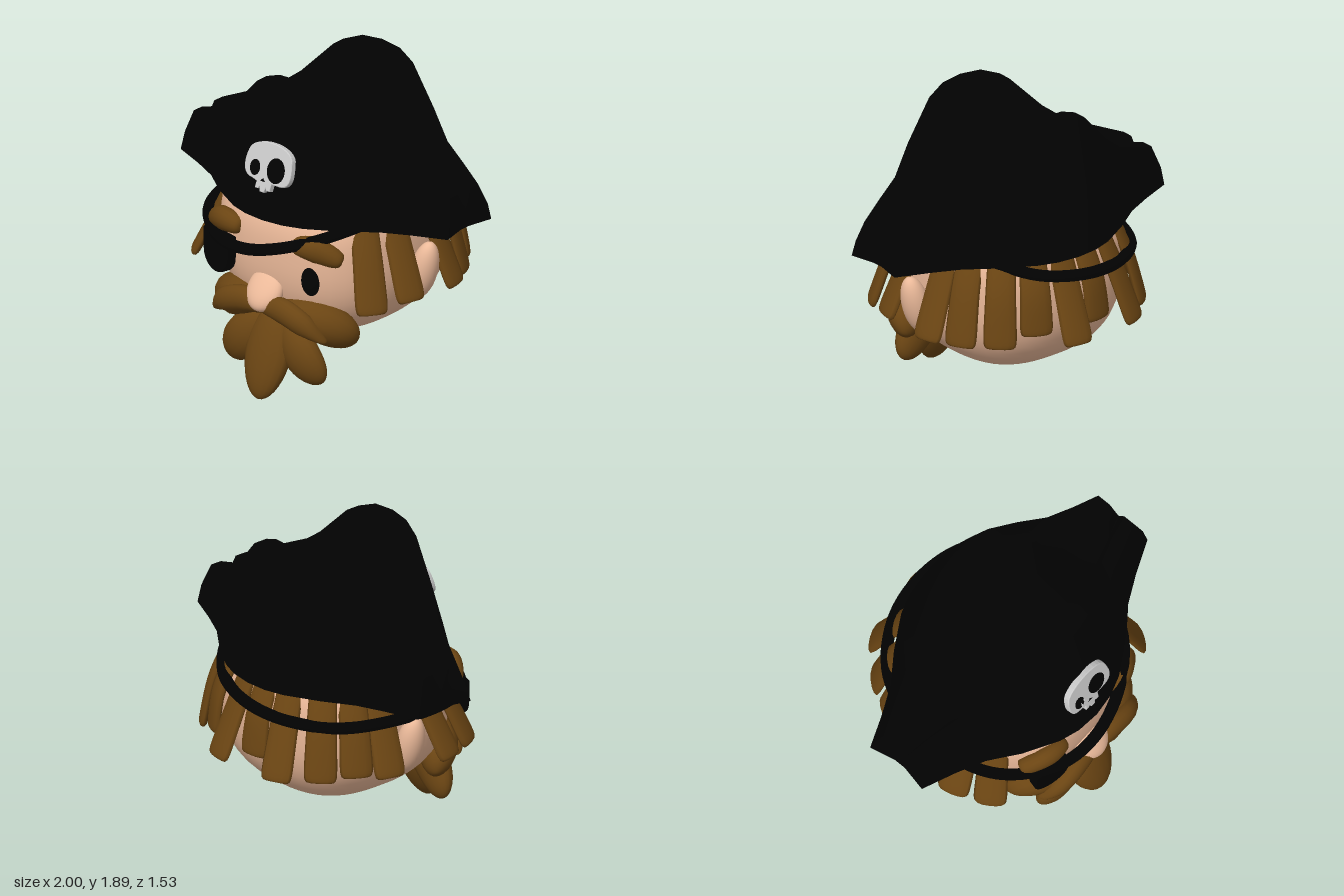
import * as THREE from 'three';
import { toCreasedNormals } from 'three/addons/utils/BufferGeometryUtils.js';

const paint = (color) => new THREE.MeshStandardMaterial({ color });
const V = (p) => new THREE.Vector3(...p);
const BOXY = 2.6; // squareness of the head

// Skin a row of closed rings and cap both ends
function skin(rings) {
  const n = rings[0].length, pos = [], idx = [];
  const centre = (r) => r.reduce((a, p) => a.add(p), new THREE.Vector3()).divideScalar(n);
  rings.forEach((r) => r.forEach((p) => pos.push(p.x, p.y, p.z)));
  const last = rings.length - 1, c0 = rings.length * n;
  [rings[0], rings[last]].forEach((r) => pos.push(...centre(r).toArray()));
  for (let j = 0; j < n; j++) {
    const k = (j + 1) % n;
    for (let i = 0; i < last; i++) {
      const a = i * n + j, b = i * n + k;
      idx.push(a, a + n, b + n, a, b + n, b);
    }
    idx.push(c0, j, k, c0 + 1, last * n + k, last * n + j);
  }
  const g = new THREE.BufferGeometry();
  g.setAttribute('position', new THREE.Float32BufferAttribute(pos, 3));
  g.setIndex(idx);
  g.computeVertexNormals();
  return g;
}

// Flattened lock along a curve; power sets how blunt the ends are
function lock(points, widths, thick, outward, power = 2, steps = 18, sides = 16) {
  const curve = new THREE.CatmullRomCurve3(points.map(V));
  const rings = [];
  for (let i = 0; i <= steps; i++) {
    const u = THREE.MathUtils.clamp((1 - Math.cos((Math.PI * i) / steps)) / 2, 0.001, 0.999);
    const c = curve.getPointAt(u), t = curve.getTangentAt(u);
    const n = V(outward).addScaledVector(t, -t.dot(V(outward))).normalize();
    const b = t.clone().cross(n);
    const end = Math.pow(1 - Math.pow(Math.abs(2 * u - 1), power), 1 / power);
    const f = u * (widths.length - 1), k = Math.min(Math.floor(f), widths.length - 2);
    const w = THREE.MathUtils.lerp(widths[k], widths[k + 1], f - k) * end;
    rings.push(Array.from({ length: sides }, (_, j) => {
      const a = (j / sides) * Math.PI * 2;
      return c.clone().addScaledVector(b, w * Math.cos(a)).addScaledVector(n, thick * end * Math.sin(a));
    }));
  }
  return skin(rings);
}

// Rounded-box head with a flatter crown
function headGeometry() {
  const g = new THREE.SphereGeometry(1, 48, 36), p = g.attributes.position, e = BOXY;
  for (let i = 0; i < p.count; i++) {
    const v = new THREE.Vector3().fromBufferAttribute(p, i);
    const s = Math.pow(Math.abs(v.x) ** e + Math.abs(v.y) ** e + Math.abs(v.z) ** e, -1 / e);
    p.setXYZ(i, v.x * s * 0.605, v.y * s * (v.y > 0 ? 0.45 : 0.6), v.z * s * 0.62);
  }
  g.computeVertexNormals();
  return g;
}

// Distance from the head's axis to its surface, above the middle
function headRadius(c, s, y) {
  const flat = (Math.abs(c) / 0.605) ** BOXY + (Math.abs(s) / 0.62) ** BOXY;
  return ((1 - ((y - 0.92) / 0.45) ** BOXY) / flat) ** (1 / BOXY);
}

// Cocked hat: cross-sections along x with two ridges and a valley
function hatGeometry() {
  const half = [ // x, ridge height, front z, back z
    [0, 1.89, 0.7, -0.61], [0.14, 1.88, 0.685, -0.595], [0.26, 1.83, 0.645, -0.555],
    [0.46, 1.62, 0.53, -0.44], [0.63, 1.485, 0.4, -0.32], [0.8, 1.415, 0.315, -0.24], [1, 1.35, 0.23, -0.16],
  ];
  const base = 1.12;
  const section = ([x, h, f, b], s) => {
    const t = (h - base) / 0.77, tf = f - 0.23 * t, tb = b + 0.23 * t, m = (tf + tb) / 2;
    const r = Math.min(0.09, (tf - tb) * 0.28), d = (tf - tb) * 0.08, mid = base + (h - base) * 0.45;
    const vf = tf - r - d, vb = tb + r + d;
    const ring = [
      [f, base], [f - 0.1 * t, mid], [tf, h], [tf - r, h], [vf, h - 0.06], [m, h - 0.09],
      [vb, h - 0.06], [tb + r, h], [tb, h], [b + 0.08 * t, mid], [b, base], [vb, base], [m, base], [vf, base],
    ];
    return ring.map(([z, y], j) => {
      const notch = (j > 3 && j < 7) || j > 10;
      let px = x;
      if (x === 1) px = notch ? 0.965 : 1 - Math.max(0, y - 1.2) * 0.27;
      return new THREE.Vector3(s * px, y, z);
    });
  };
  const right = half.slice(1).reverse().map((q) => section(q, -1));
  return toCreasedNormals(skin([...right, ...half.map((q) => section(q, 1))]), 0.95);
}

// Skull plate with eye and nose holes
function skullGeometry() {
  const s = new THREE.Shape();
  s.moveTo(-0.1, -0.085);
  s.bezierCurveTo(-0.19, -0.08, -0.175, 0.02, -0.16, 0.07);
  s.bezierCurveTo(-0.14, 0.17, 0.13, 0.17, 0.16, 0.08);
  s.bezierCurveTo(0.175, 0, 0.19, -0.09, 0.1, -0.09);
  s.lineTo(0.045, -0.09);
  [[0.04, -0.135], [0.015, -0.135], [0.01, -0.12], [0, -0.15], [-0.03, -0.15], [-0.035, -0.12],
    [-0.045, -0.135], [-0.07, -0.135], [-0.065, -0.095]].forEach((p) => s.lineTo(...p));
  const eye = (x, y, rx, ry) => s.holes.push(new THREE.Path().absellipse(x, y, rx, ry, 0, Math.PI * 2, true));
  eye(-0.092, -0.02, 0.042, 0.052);
  eye(0.06, -0.005, 0.07, 0.08);
  s.holes.push(new THREE.Path([[-0.045, -0.09], [-0.02, -0.06], [0.005, -0.09]].map((p) => new THREE.Vector2(...p))));
  return new THREE.ExtrudeGeometry(s, {
    depth: 0.03, bevelSize: 0.005, bevelOffset: -0.005, bevelThickness: 0.005, bevelSegments: 2, curveSegments: 14,
  });
}

function patchGeometry() {
  const s = new THREE.Shape();
  s.moveTo(-0.11, 0.09);
  s.lineTo(0.11, 0.09);
  s.lineTo(0.11, -0.03);
  s.bezierCurveTo(0.11, -0.175, -0.11, -0.175, -0.11, -0.03);
  return new THREE.ExtrudeGeometry(s, { depth: 0.05, bevelSize: 0.008, bevelThickness: 0.008, bevelSegments: 2 });
}

export function createModel() {
  const group = new THREE.Group();
  const skinTone = paint(0xecba9a), hair = paint(0x6b4513), black = paint(0x020202), bone = paint(0xc4c4c4);
  const add = (name, geometry, material, p = [0, 0, 0]) => {
    const m = new THREE.Mesh(geometry, material);
    m.name = name;
    m.position.set(...p);
    group.add(m);
    return m;
  };
  const ball = (name, material, p, scale) => {
    const m = add(name, new THREE.SphereGeometry(1, 28, 20), material, p);
    m.scale.set(...scale);
    return m;
  };

  // Head, ears and wedge-shaped nose
  add('head', headGeometry(), skinTone, [0, 0.92, 0.04]);
  for (const s of [-1, 1]) ball('ear', skinTone, [s * 0.672, 0.78, 0.05], [0.08, 0.19, 0.082]).rotation.z = -s * 0.27;
  const nose = new THREE.SphereGeometry(1, 28, 20), np = nose.attributes.position;
  for (let i = 0; i < np.count; i++) {
    const y = np.getY(i);
    np.setXYZ(i, np.getX(i) * 0.12, y * 0.12, np.getZ(i) * (0.075 - 0.03 * y) - y * 0.04);
  }
  nose.computeVertexNormals();
  add('nose', nose, skinTone, [-0.01, 0.665, 0.655]);

  // Eye, patch and strap
  ball('eye', black, [0.285, 0.79, 0.595], [0.06, 0.1, 0.05]).rotation.y = 0.45;
  add('eyePatch', patchGeometry(), black, [-0.355, 0.83, 0.62]).rotation.y = -0.25;
  const strap = new THREE.CatmullRomCurve3([
    [-0.7, 0.97, 0.05], [-0.61, 0.945, 0.44], [-0.33, 0.91, 0.68], [-0.06, 0.93, 0.735], [0.25, 1.02, 0.66],
    [0.5, 1.13, 0.45], [0.6, 1.2, 0.05], [0.5, 1.16, -0.32], [0.28, 1.07, -0.56], [0, 1.02, -0.64],
    [-0.3, 0.99, -0.59], [-0.57, 0.97, -0.38],
  ].map(V), true);
  add('patchStrap', new THREE.TubeGeometry(strap, 90, 0.035, 12, true), black);

  // Brows, moustache and beard
  const front = [0, 0, 1];
  add('leftBrow', lock([[0.185, 0.99, 0.63], [0.31, 1.0, 0.62], [0.465, 0.93, 0.53]], [0.06, 0.08, 0.055], 0.06, front, 4), hair);
  add('rightBrow', lock([[-0.205, 0.995, 0.63], [-0.34, 1.005, 0.62], [-0.485, 0.945, 0.53]], [0.06, 0.075, 0.06], 0.06, front, 4), hair);
  add('middleBeard', lock([[0, 0.54, 0.56], [0, 0.25, 0.645], [0, 0.005, 0.73]], [0.15, 0.155, 0.14], 0.085, front), hair);
  for (const s of [-1, 1]) {
    const side = (pts) => pts.map(([x, y, z]) => [s * x, y, z]);
    add('sideBeard', lock(side([[0.06, 0.48, 0.55], [0.21, 0.3, 0.595], [0.35, 0.15, 0.57]]), [0.1, 0.13, 0.13], 0.085, front), hair);
    add('cheekBeard', lock(side([[0.04, 0.57, 0.61], [0.3, 0.525, 0.55], [0.475, 0.4, 0.405]]), [0.1, 0.125, 0.155], 0.12, front), hair);
    add('moustache', lock(side([[-0.04, 0.565, 0.67], [0.14, 0.585, 0.685], [0.28, 0.54, 0.68], [0.41, 0.435, 0.61]]),
      [0.06, 0.08, 0.075, 0.03], 0.06, front, 2.5), hair);
  }

  // Hair strands: angle from +x round the back, tip radius, tip height
  const strands = [
    [-35, 0.79, 0.63], [-16, 0.77, 0.66], [13, 0.77, 0.64], [29, 0.75, 0.64], [47, 0.75, 0.65], [64, 0.71, 0.71],
    [82, 0.78, 0.64], [99, 0.69, 0.71], [116, 0.8, 0.64], [135, 0.77, 0.65], [151, 0.75, 0.67], [166, 0.77, 0.65],
    [197, 0.81, 0.66], [213, 0.82, 0.66],
  ];
  for (const [deg, r, y] of strands) {
    const a = THREE.MathUtils.degToRad(deg), c = Math.cos(a), s = -Math.sin(a);
    const at = (rad, h) => [c * rad, h, s * rad + 0.03];
    const root = at(headRadius(c, s, 1.18) - 0.012, 1.18), bend = at(headRadius(c, s, 0.96) + 0.022, 0.96);
    add('hairStrand', lock([root, bend, at(r, y)], [0.08, 0.09, 0.1], 0.03, [c, 0, s], 9, 20, 12), hair);
  }

  // Hat and its badge
  add('hat', hatGeometry(), black);
  add('hatSkull', skullGeometry(), bone, [0, 1.42, 0.61]).rotation.x = -0.29;
  return group;
}
